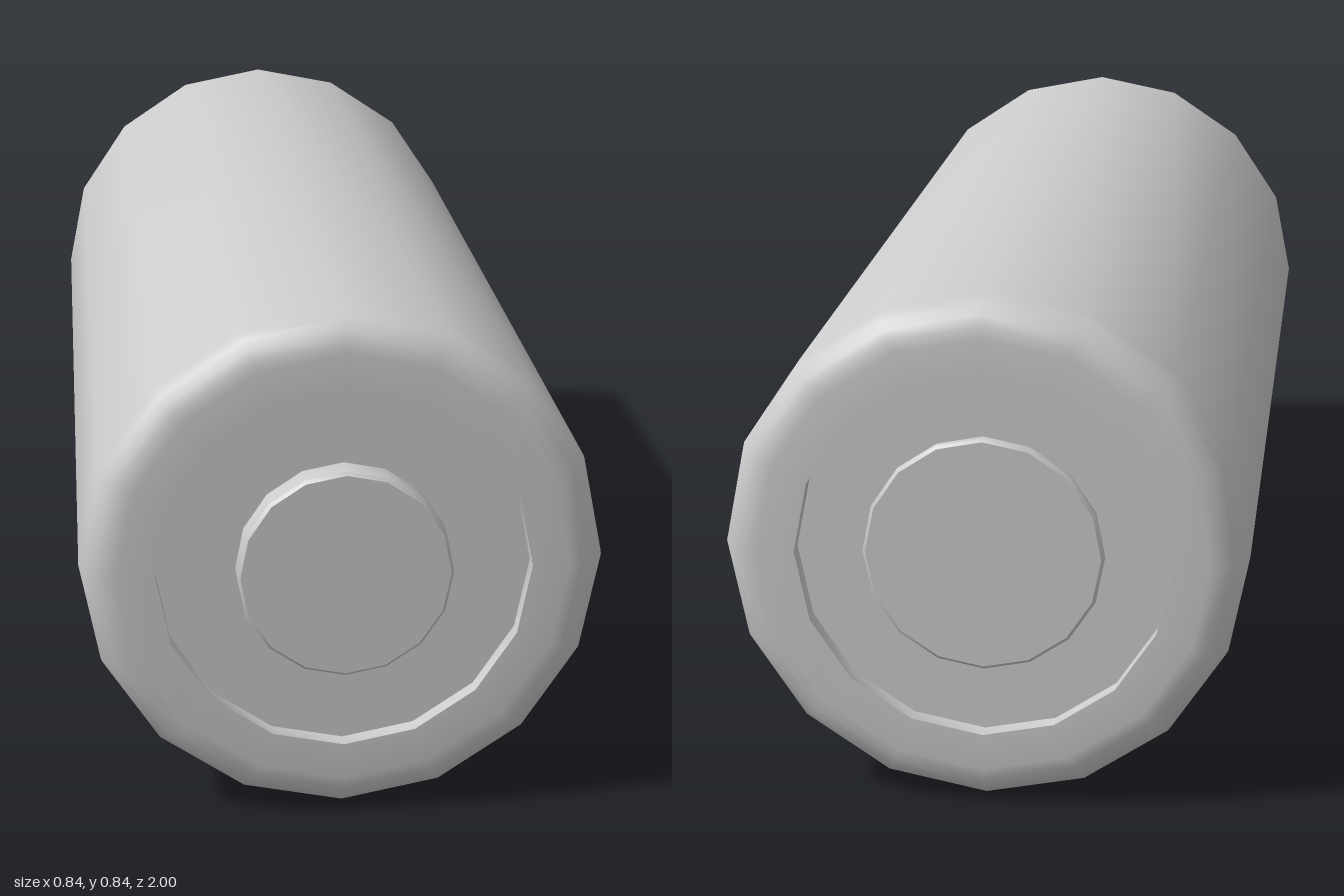
import * as THREE from 'three';
import { toCreasedNormals } from 'three/addons/utils/BufferGeometryUtils.js';

const SIDES = 16;
const RADIUS = 0.42;
const BACK = -1, FRONT = 0.98;     // end rims along z
const ROUND = 0.06;                // rounding of the end edges
const RECESS_R = 0.3, RECESS_D = 0.03;

const material = new THREE.MeshStandardMaterial({ color: 0xcccccc });

// Turned part: profile of [radius, z] running from back to front
function turned(name, profile) {
  const points = profile.map(([r, z]) => new THREE.Vector2(r, z));
  const geometry = new THREE.LatheGeometry(points, SIDES).rotateX(Math.PI / 2);
  const mesh = new THREE.Mesh(toCreasedNormals(geometry, 0.6), material);
  mesh.name = name;
  return mesh;
}

// Quarter-round edge between an end face and the side wall
function roundedEdge(z, from, to) {
  const steps = 5;
  return Array.from({ length: steps + 1 }, (_, i) => {
    const a = from + (to - from) * i / steps;
    return [RADIUS - ROUND + ROUND * Math.cos(a), z + ROUND * Math.sin(a)];
  });
}

export function createModel() {
  const group = new THREE.Group();
  group.name = 'battery';
  const cell = new THREE.Group();
  cell.name = 'cell';
  cell.position.y = RADIUS;
  group.add(cell);

  // Casing with a shallow round recess in each end
  const backFloor = BACK + RECESS_D, frontFloor = FRONT - RECESS_D;
  cell.add(turned('casing', [
    [0, backFloor], [RECESS_R, backFloor], [RECESS_R, BACK],
    ...roundedEdge(BACK + ROUND, -Math.PI / 2, 0),
    ...roundedEdge(FRONT - ROUND, 0, Math.PI / 2),
    [RECESS_R, FRONT], [RECESS_R, frontFloor], [0, frontFloor],
  ]));

  // Raised positive terminal, standing proud of the front rim
  cell.add(turned('positiveTerminal', [
    [0.172, frontFloor], [0.172, 0.994], [0.167, 1], [0, 1],
  ]));

  // Low negative terminal, sunk below the back rim
  cell.add(turned('negativeTerminal', [
    [0, -0.985], [0.188, -0.985], [0.193, -0.981], [0.193, backFloor],
  ]));

  return group;
}
